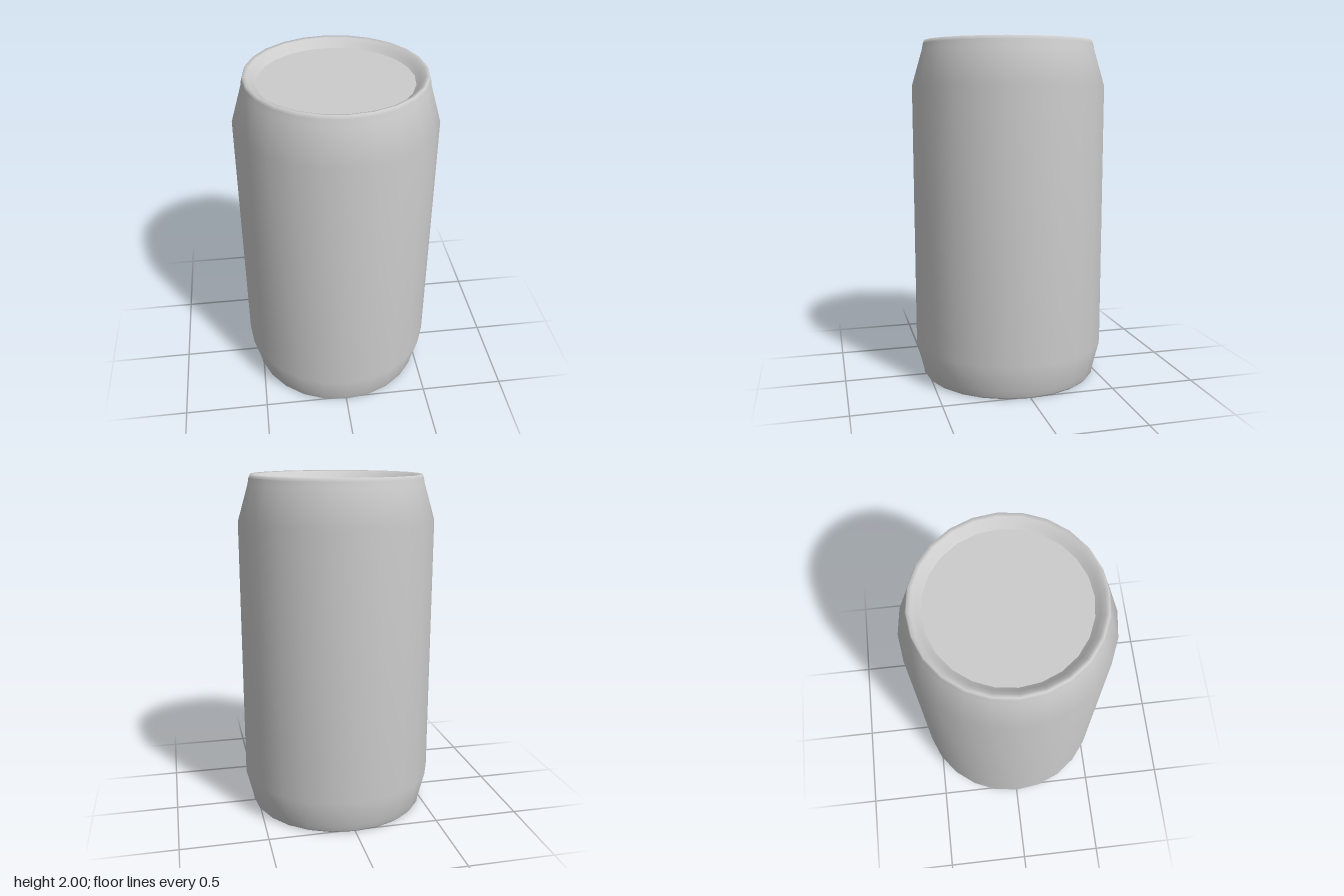
import * as THREE from 'three';

const SIDES = 24;
const material = new THREE.MeshStandardMaterial({ color: 0xcccccc });

// Turns a list of [radius, height] pairs into a named round part.
function turned(name, profile) {
  const points = profile.map(([r, y]) => new THREE.Vector2(r, y));
  const mesh = new THREE.Mesh(new THREE.LatheGeometry(points, SIDES), material);
  mesh.name = name;
  return mesh;
}

export function createModel() {
  const can = new THREE.Group();
  can.name = 'can';

  // Tapered foot, straight wall, sloping shoulder and rolled rim
  can.add(turned('body', [
    [0.497, 0], [0.515, 0], [0.525, 0.012], [0.53, 0.045], [0.57, 0.205],
    [0.57, 1.74], [0.508, 1.95], [0.503, 1.98], [0.495, 2],
    [0.475, 1.995], [0.45, 1.97], [0.428, 1.95],
  ]));

  // Hollow underside, running from the apex out to the foot
  const dome = [];
  const steps = 8;
  for (let i = 0; i <= steps; i++) {
    const a = (i / steps) * Math.PI / 2;
    dome.push([0.497 * Math.sin(a), i === steps ? 0 : 0.25 * Math.cos(a)]);
  }
  can.add(turned('bottomDome', dome));

  // Flat recessed lid
  const lid = new THREE.Mesh(new THREE.CircleGeometry(0.428, SIDES), material);
  lid.name = 'lid';
  lid.rotation.x = -Math.PI / 2;
  lid.position.y = 1.95;
  can.add(lid);

  return can;
}
